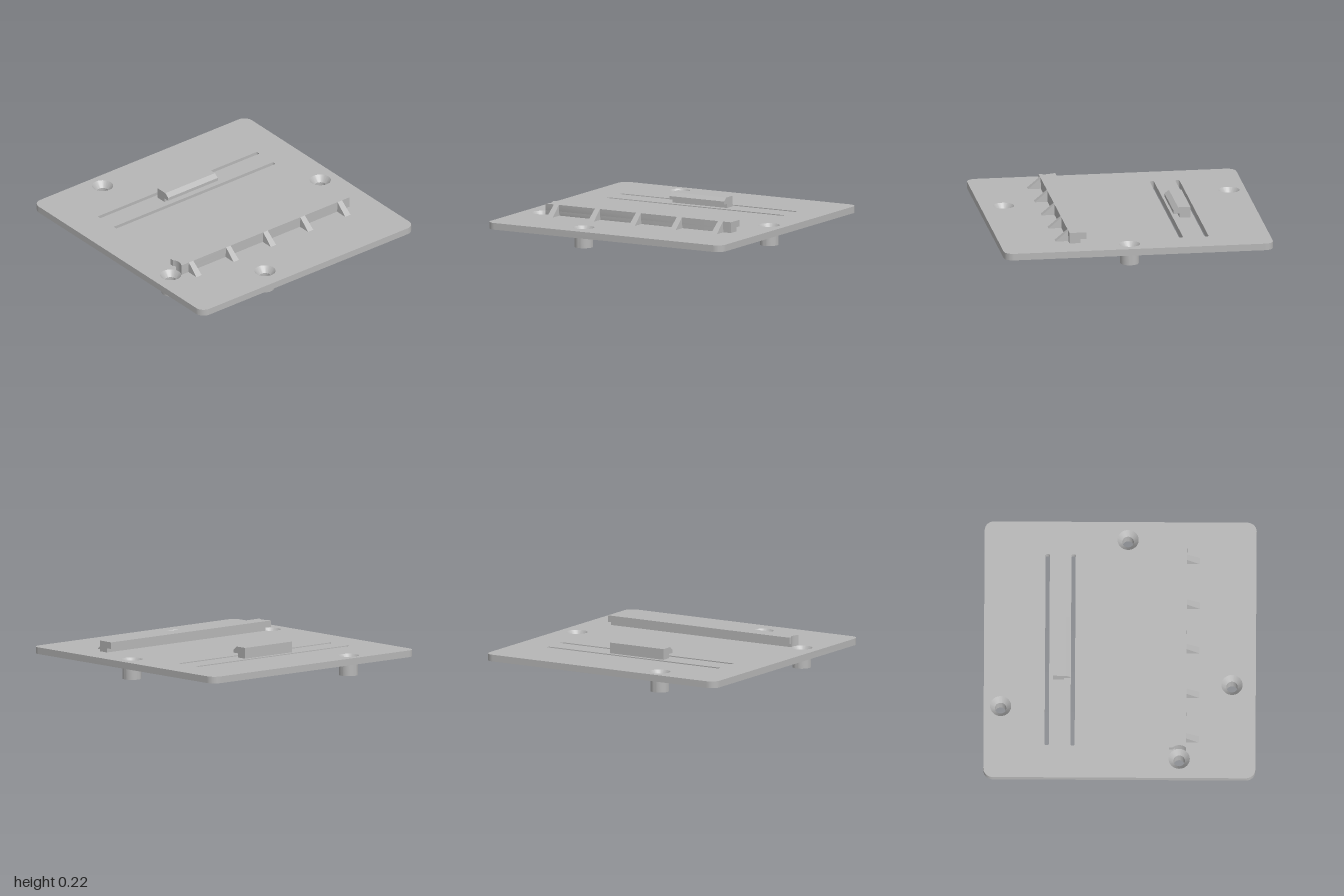
import * as THREE from 'three';
import { toCreasedNormals } from 'three/addons/utils/BufferGeometryUtils.js';

const BOTTOM = 0.095, TOP = 0.145, LIP = 0.176, RAIL_TOP = 0.225;
const HOLE_R = 0.078;
const BOSSES = [[-0.445, -0.875], [0.86, 0.055], [-0.85, 0.44], [-0.27, 0.825]];

// Rounded rectangle in plan, centred on (cx, cy)
function roundedRect(target, cx, cy, w, h, r) {
  const x = w / 2 - r, y = h / 2 - r;
  target.absarc(cx + x, cy + y, r, 0, Math.PI / 2);
  target.absarc(cx - x, cy + y, r, Math.PI / 2, Math.PI);
  target.absarc(cx - x, cy - y, r, Math.PI, Math.PI * 1.5);
  target.absarc(cx + x, cy - y, r, Math.PI * 1.5, Math.PI * 2);
  target.closePath();
  return target;
}

// Plan shape (x, -z) extruded upward between two heights
function extrudeUp(shape, y0, y1) {
  const g = new THREE.ExtrudeGeometry(shape, { depth: y1 - y0, bevelEnabled: false, curveSegments: 24 });
  g.rotateX(-Math.PI / 2).translate(0, y0, 0);
  return toCreasedNormals(g, 0.6);
}

// Side profile of [z, y] points extruded along x, centred on x
function extrudeAcross(points, width, x) {
  const shape = new THREE.Shape(points.map(([z, y]) => new THREE.Vector2(-z, y)));
  const g = new THREE.ExtrudeGeometry(shape, { depth: width, bevelEnabled: false });
  return g.rotateY(Math.PI / 2).translate(x - width / 2, 0, 0);
}

// Long rail in plan, with its left end notched around the neighbouring screw hole
function railShape(backZ) {
  const [hx, hz] = BOSSES[2];
  const a = Math.min(0.695, Math.asin(Math.min(1, (hz - backZ) / HOLE_R)));
  const s = new THREE.Shape();
  s.moveTo(-0.79, -0.49);
  s.lineTo(0.787, -0.49);
  s.lineTo(0.787, -backZ);
  if (backZ < 0.39) s.lineTo(-0.79, -backZ);
  s.absarc(hx, -hz, HOLE_R, a, -0.695, true);
  return s;
}

export function createModel() {
  const model = new THREE.Group();
  model.name = 'mountingPlate';
  const grey = new THREE.MeshStandardMaterial({ color: 0xb6b6b6 });
  grey.name = 'grey plastic';
  const add = (name, geometry, parent = model) => {
    const mesh = new THREE.Mesh(geometry, grey);
    mesh.name = name;
    parent.add(mesh);
    return mesh;
  };

  // Base plate with screw holes and two long slots
  const plate = roundedRect(new THREE.Shape(), 0, 0, 2, 2, 0.07);
  for (const [x, z] of BOSSES) {
    plate.holes.push(new THREE.Path().absarc(x, -z, HOLE_R, 0, Math.PI * 2, true));
  }
  for (const z of [-0.535, -0.345]) {
    plate.holes.push(roundedRect(new THREE.Path(), -0.002, -z, 1.495, 0.031, 0.009));
  }
  add('basePlate', extrudeUp(plate, BOTTOM, TOP));

  // Hollow standoffs with countersunk tops
  const profile = [[HOLE_R, TOP], [0.042, 0.1], [0.042, 0], [0.069, 0], [0.069, BOTTOM], [HOLE_R, BOTTOM]]
    .map(([r, y]) => new THREE.Vector2(r, y));
  const standoff = toCreasedNormals(new THREE.LatheGeometry(profile, 48), 0.5);
  for (const [x, z] of BOSSES) add('standoff', standoff).position.set(x, 0, z);

  // Front rail: upright wall and overhanging lip
  const rail = new THREE.Group();
  rail.name = 'frontRail';
  model.add(rail);
  add('railWall', extrudeUp(railShape(0.41), TOP, LIP), rail);
  add('railLip', extrudeUp(railShape(0.365), LIP, RAIL_TOP), rail);

  // Triangular ribs bracing the rail, narrowing slightly upward
  const rib = extrudeAcross([[0.585, TOP], [0.49, TOP], [0.49, RAIL_TOP]].reverse(), 0.05, 0);
  const p = rib.attributes.position;
  for (let i = 0; i < p.count; i++) {
    if (p.getY(i) > 0.2) p.setX(i, p.getX(i) * 0.84);
  }
  rib.computeVertexNormals();
  for (let i = -2; i <= 2; i++) add('rib', rib, rail).position.x = i * 0.349;

  // Rear snap clip with chamfered hook
  add('rearClip', extrudeAcross([
    [-0.49, TOP], [-0.41, TOP], [-0.41, LIP], [-0.364, LIP],
    [-0.364, 0.2], [-0.398, RAIL_TOP], [-0.49, RAIL_TOP],
  ], 0.465, -0.002));

  return model;
}
